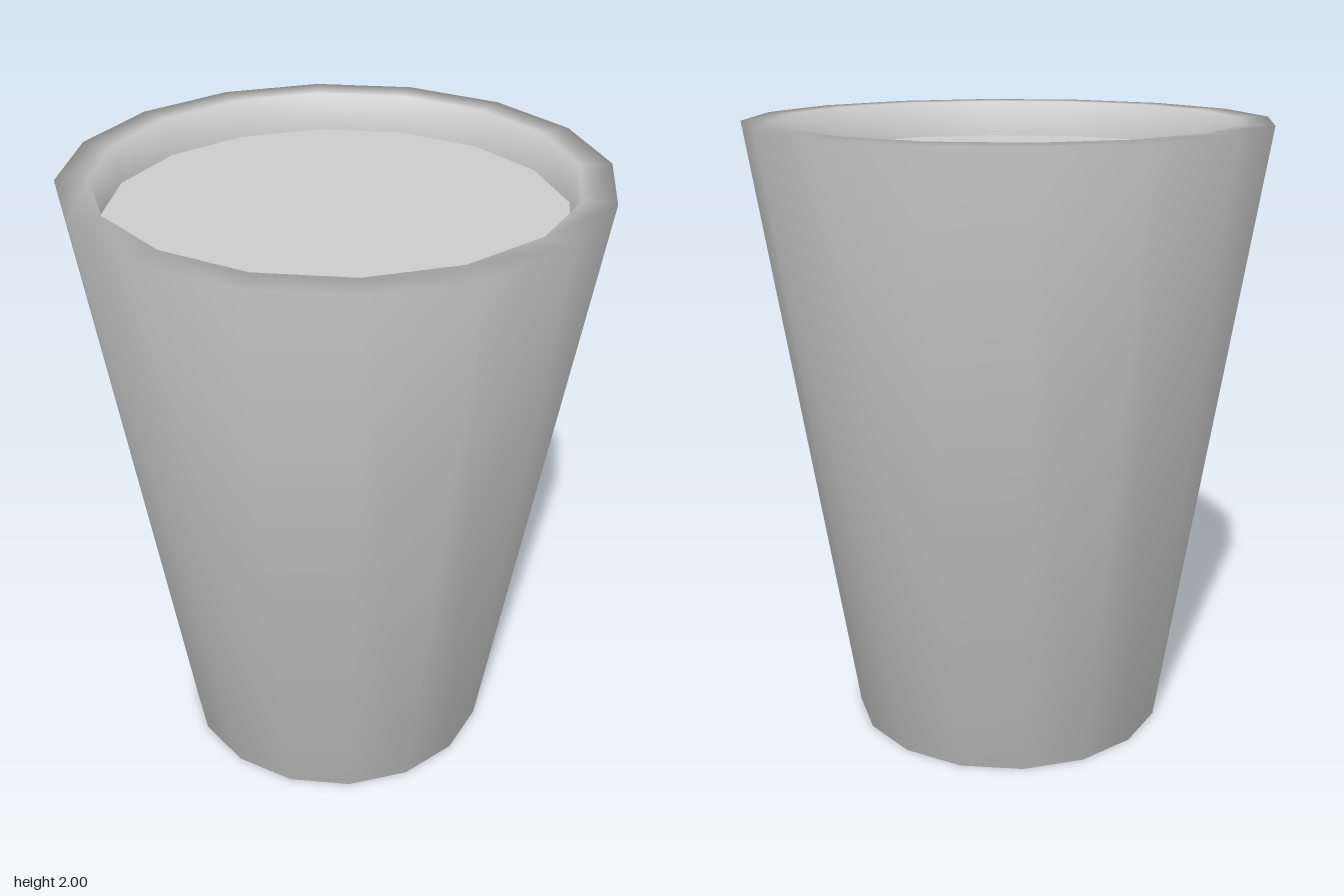
import * as THREE from 'three';

const SIDES = 16;
const FILL_Y = 1.88;
const FILL_R = 0.71;

export function createModel() {
  const group = new THREE.Group();
  group.name = 'filledCup';
  const material = new THREE.MeshStandardMaterial({ color: 0xcccccc });

  // Tapered cup: base, outer wall, rim and inner wall in one smooth profile
  const profile = [
    [0, 0],
    [0.52, 0],
    [0.83, 2],
    [0.73, 2],
    [FILL_R, FILL_Y],
  ].map(([r, y]) => new THREE.Vector2(r, y));
  const cup = new THREE.Mesh(new THREE.LatheGeometry(profile, SIDES), material);
  cup.name = 'cup';
  group.add(cup);

  // Flat surface of the contents, just below the rim
  const surface = new THREE.CircleGeometry(FILL_R, SIDES).rotateX(-Math.PI / 2);
  const contents = new THREE.Mesh(surface, material);
  contents.name = 'contents';
  contents.position.y = FILL_Y;
  group.add(contents);

  return group;
}
